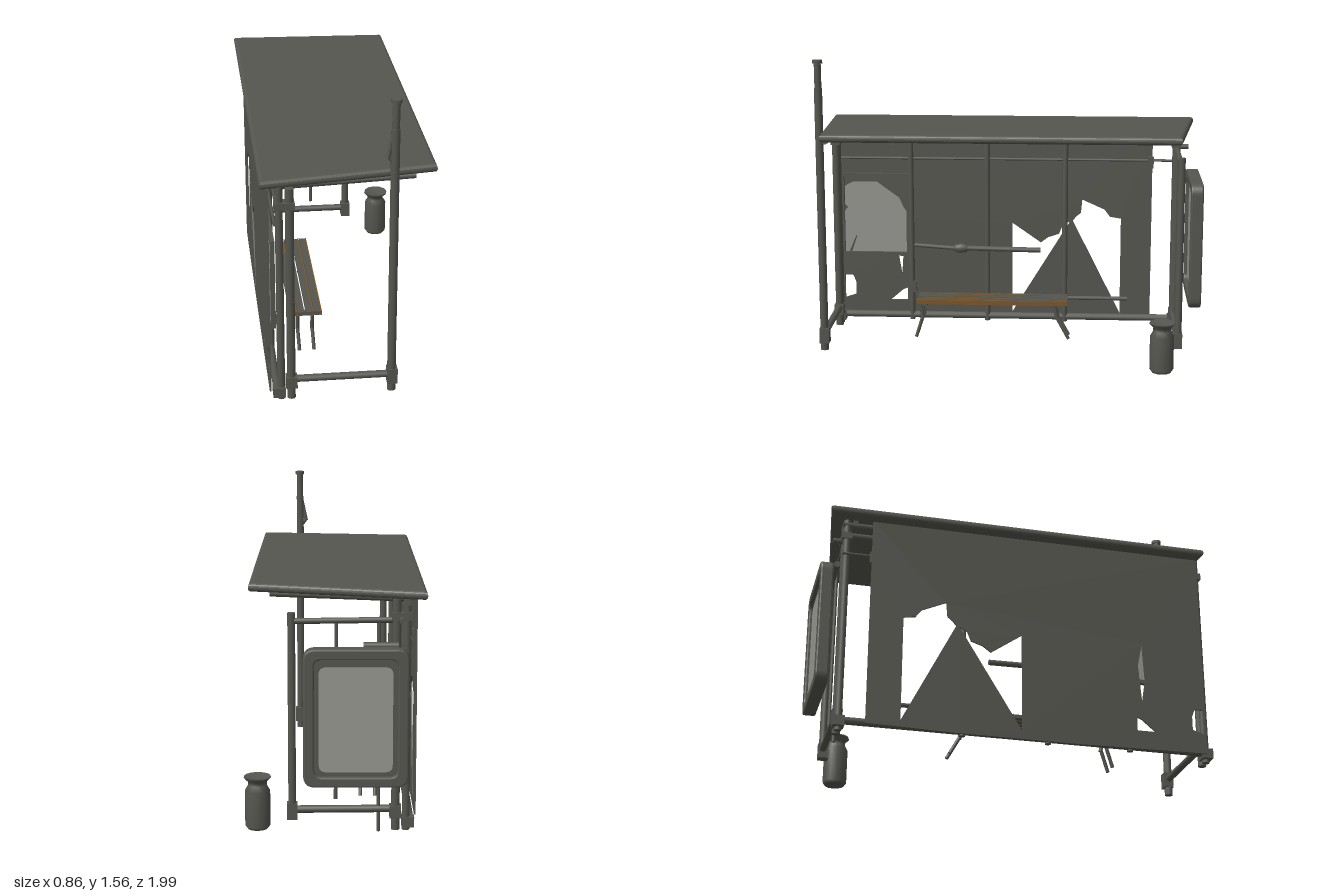
import * as THREE from 'three';

const metal = new THREE.MeshStandardMaterial({ color: 0x55564f });
metal.name = 'weathered metal';
const pale = new THREE.MeshStandardMaterial({ color: 0x969790 });
pale.name = 'pale poster';
const wood = new THREE.MeshStandardMaterial({ color: 0x7d5626 });
wood.name = 'worn wood';

export function createModel() {
  const root = new THREE.Group();
  root.name = 'busShelter';

  const add = (name, geo, mat = metal, x = 0, y = 0, z = 0) => {
    const m = new THREE.Mesh(geo, mat);
    m.name = name;
    m.position.set(x, y, z);
    root.add(m);
    return m;
  };
  const box = (name, w, h, d, x, y, z, mat) => add(name, new THREE.BoxGeometry(w, h, d), mat, x, y, z);
  // Round bar between two points
  const bar = (name, a, b, r, r2 = r) => {
    const p = new THREE.Vector3(...a), q = new THREE.Vector3(...b);
    const m = add(name, new THREE.CylinderGeometry(r2, r, p.distanceTo(q), 10));
    m.position.copy(p).lerp(q, 0.5);
    m.quaternion.setFromUnitVectors(new THREE.Vector3(0, 1, 0), q.sub(p).normalize());
    return m;
  };
  const poly = (pts) => pts.map(([a, b]) => new THREE.Vector2(a, b));
  // Sheet drawn in (z, y), standing at the given x
  const sideSheet = (name, pts, holes, x, t, mat) => {
    const s = new THREE.Shape(poly(pts));
    holes.forEach((h) => s.holes.push(new THREE.Path(poly(h))));
    const g = new THREE.ExtrudeGeometry(s, { depth: t, bevelEnabled: false });
    g.rotateY(-Math.PI / 2);
    return add(name, g, mat, x, 0, 0);
  };
  const roundRect = (w, h, r, Type = THREE.Shape) => {
    const s = new Type(), a = w / 2, b = h / 2;
    s.moveTo(-a + r, -b);
    s.lineTo(a - r, -b).quadraticCurveTo(a, -b, a, -b + r);
    s.lineTo(a, b - r).quadraticCurveTo(a, b, a - r, b);
    s.lineTo(-a + r, b).quadraticCurveTo(-a, b, -a, b - r);
    s.lineTo(-a, -b + r).quadraticCurveTo(-a, -b, -a + r, -b);
    return s;
  };

  // Tilted roof slab with rounded rim
  const roofShape = new THREE.Shape(poly([[-0.412, -0.97], [0.382, -0.915], [0.382, 0.855], [-0.412, 0.955]]));
  const roofGeo = new THREE.ExtrudeGeometry(roofShape, {
    depth: 0.004, bevelThickness: 0.018, bevelSize: 0.018, bevelSegments: 4,
  });
  roofGeo.rotateX(-Math.PI / 2);
  add('roof', roofGeo, metal, 0, 1.183, 0).rotation.z = 0.027;
  for (const z of [0.92, 0.58, 0.15, -0.18, -0.56, -0.84])
    bar('roofRib', [-0.36, 1.14, z], [0.3, 1.165, z], 0.016);

  // Corner posts at both ends, with feet and collars
  for (const [z, s] of [[0.965, 1], [-0.88, -1]]) {
    bar('cornerPost', [-0.34, 0.03, z], [-0.34, 1.16, z], 0.019);
    bar('cornerPost', [-0.291, 0.03, z], [-0.291, 1.15, z], 0.021);
    box('postCollar', 0.095, 0.035, 0.05, -0.315, 1.066, z);
    box('postFoot', 0.06, 0.05, 0.055, -0.35, 0.07, z);
    box('postFoot', 0.055, 0.06, 0.05, -0.29, 0.12, z);
    bar('lowerEndRail', [-0.28, 0.132, z], [0.2, 0.128, z], 0.018);
    box('railBracket', 0.05, 0.08, 0.05, 0.2, 0.12, z - s * 0.003);
  }

  // Tall front pole with cap and bent bracket
  bar('tallPole', [0.197, 0.04, 0.965], [0.195, 1.42, 0.965], 0.021);
  bar('tallPoleTop', [0.195, 1.4, 0.965], [0.197, 1.55, 0.965], 0.018);
  bar('poleCap', [0.197, 1.548, 0.965], [0.197, 1.565, 0.965], 0.026);
  bar('poleBracket', [0.162, 1.28, 0.965], [0.184, 1.41, 0.965], 0.012, 0.006);
  bar('poleBracketArm', [0.16, 1.29, 0.965], [0.19, 1.25, 0.965], 0.01);

  // Far end frame
  bar('farPost', [0.2, 0.09, -0.88], [0.2, 1.08, -0.88], 0.019);
  bar('upperEndRail', [-0.33, 1.047, -0.88], [0.2, 1.04, -0.88], 0.014);
  bar('endRod', [-0.21, 0.02, -0.88], [-0.208, 1.04, -0.88], 0.009);
  bar('endRod', [-0.006, 0.18, -0.88], [-0.01, 1.04, -0.88], 0.009);
  bar('posterArm', [-0.3, 0.93, -0.915], [-0.135, 0.93, -0.915], 0.017);
  bar('railStub', [-0.315, 1.05, -0.88], [-0.315, 1.05, -0.945], 0.014);

  // Double sided poster case outside the far end
  const px = -0.1, py = 0.6;
  const frame = roundRect(0.475, 0.645, 0.05);
  frame.holes.push(roundRect(0.405, 0.575, 0.045, THREE.Path));
  add('posterFrame', new THREE.ExtrudeGeometry(frame, {
    depth: 0.048, bevelThickness: 0.008, bevelSize: 0.008, bevelSegments: 2,
  }), metal, px, py, -0.992);
  add('posterBacking', new THREE.ExtrudeGeometry(roundRect(0.42, 0.59, 0.045), {
    depth: 0.026, bevelEnabled: false,
  }), metal, px, py, -0.981);
  for (const z of [-0.985, -0.955])
    add('posterSheet', new THREE.ExtrudeGeometry(roundRect(0.345, 0.5, 0.035), {
      depth: 0.004, bevelEnabled: false,
    }), pale, px, 0.592, z);

  // Torn back wall
  sideSheet('backWall',
    [[0.955, 0.06], [0.955, 1.14], [-0.757, 1.14], [-0.757, 0.06], [-0.3, 0.05], [0.3, 0.05]],
    [
      [[0.008, 0.6], [-0.15, 0.49], [-0.19, 0.52], [-0.25, 0.54], [-0.27, 0.59], [-0.31, 0.61], [0.008, 0.09]],
      [[-0.325, 0.615], [-0.345, 0.64], [-0.37, 0.66], [-0.377, 0.735], [-0.5, 0.68], [-0.53, 0.64],
        [-0.59, 0.63], [-0.59, 0.09]],
      [[0.945, 0.29], [0.9, 0.29], [0.885, 0.25], [0.885, 0.18], [0.945, 0.16]],
      [[0.69, 0.15], [0.62, 0.21], [0.595, 0.22], [0.595, 0.15]],
      [[0.635, 0.62], [0.61, 0.5], [0.625, 0.3], [0.645, 0.42]],
    ], -0.387, 0.008);

  // Wall rails and studs
  const rails = [[1.13, -0.345, 0.015], [1.07, -0.345, 0.016], [0.963, -0.36, 0.007], [0.075, -0.36, 0.019]];
  for (const [y, x, r] of rails) bar('wallRail', [x, y, 0.96], [x, y, -0.9], r);
  for (const z of [0.565, 0.145, -0.283]) bar('wallStud', [-0.355, 0.05, z], [-0.355, 1.14, z], 0.015);
  box('railClamp', 0.03, 0.06, 0.035, -0.365, 0.95, -0.745);
  box('studClamp', 0.04, 0.06, 0.04, -0.35, 0.24, 0.56);

  // Broken rails along the wall
  bar('brokenRail', [-0.355, 0.475, 0.55], [-0.34, 0.46, 0.28], 0.011);
  bar('brokenRail', [-0.34, 0.465, 0.28], [-0.35, 0.455, -0.15], 0.014);
  const knot = add('railKnot', new THREE.IcosahedronGeometry(0.033, 1), metal, -0.34, 0.463, 0.29);
  knot.scale.set(0.6, 0.8, 1.5);
  bar('brokenRail', [-0.35, 0.185, -0.25], [-0.35, 0.185, -0.63], 0.011);

  // Framed notice on the inside of the wall
  for (const y of [0.42, 0.865]) box('noticeFrame', 0.022, 0.02, 0.38, -0.372, y, 0.765);
  for (const z of [0.947, 0.585]) box('noticeFrame', 0.022, 0.45, 0.018, -0.372, 0.642, z);
  sideSheet('tornNotice',
    [[0.938, 0.43], [0.938, 0.66], [0.92, 0.68], [0.938, 0.7], [0.935, 0.8], [0.89, 0.825], [0.757, 0.825],
      [0.71, 0.79], [0.634, 0.735], [0.61, 0.68], [0.595, 0.66], [0.595, 0.43]], [], -0.379, 0.004, pale);
  bar('noticeTear', [-0.376, 0.43, 0.91], [-0.376, 0.52, 0.875], 0.006, 0.003);

  // Bench with worn wooden edges
  for (let i = 0; i < 4; i++) {
    const x = -0.24 + i * 0.042;
    box('benchSlat', 0.034, 0.018, 0.81, x, 0.222, 0.105);
    if (i % 3 === 0 || i === 2) box('benchWornEdge', 0.006, 0.024, 0.812, x + 0.019, 0.222, 0.105, wood);
  }
  for (const z of [0.47, -0.26]) {
    box('benchBearer', 0.15, 0.018, 0.03, -0.175, 0.205, z);
    for (const x of [-0.215, -0.14]) {
      bar('benchLeg', [x, 0.21, z + 0.03], [x, 0.12, z + 0.012], 0.01);
      bar('benchLeg', [x, 0.13, z + 0.014], [x + 0.006, 0.015, z + 0.05 * Math.sign(z)], 0.009);
    }
  }

  // Litter bin with flared lip
  const profile = poly([[0, 0.008], [0.05, 0.005], [0.061, 0.02], [0.061, 0.195], [0.045, 0.222], [0.045, 0.238],
    [0.066, 0.258], [0.064, 0.266], [0.05, 0.255], [0, 0.25]]);
  add('litterBin', new THREE.LatheGeometry(profile, 12), metal, 0.369, 0, -0.79);

  return root;
}
